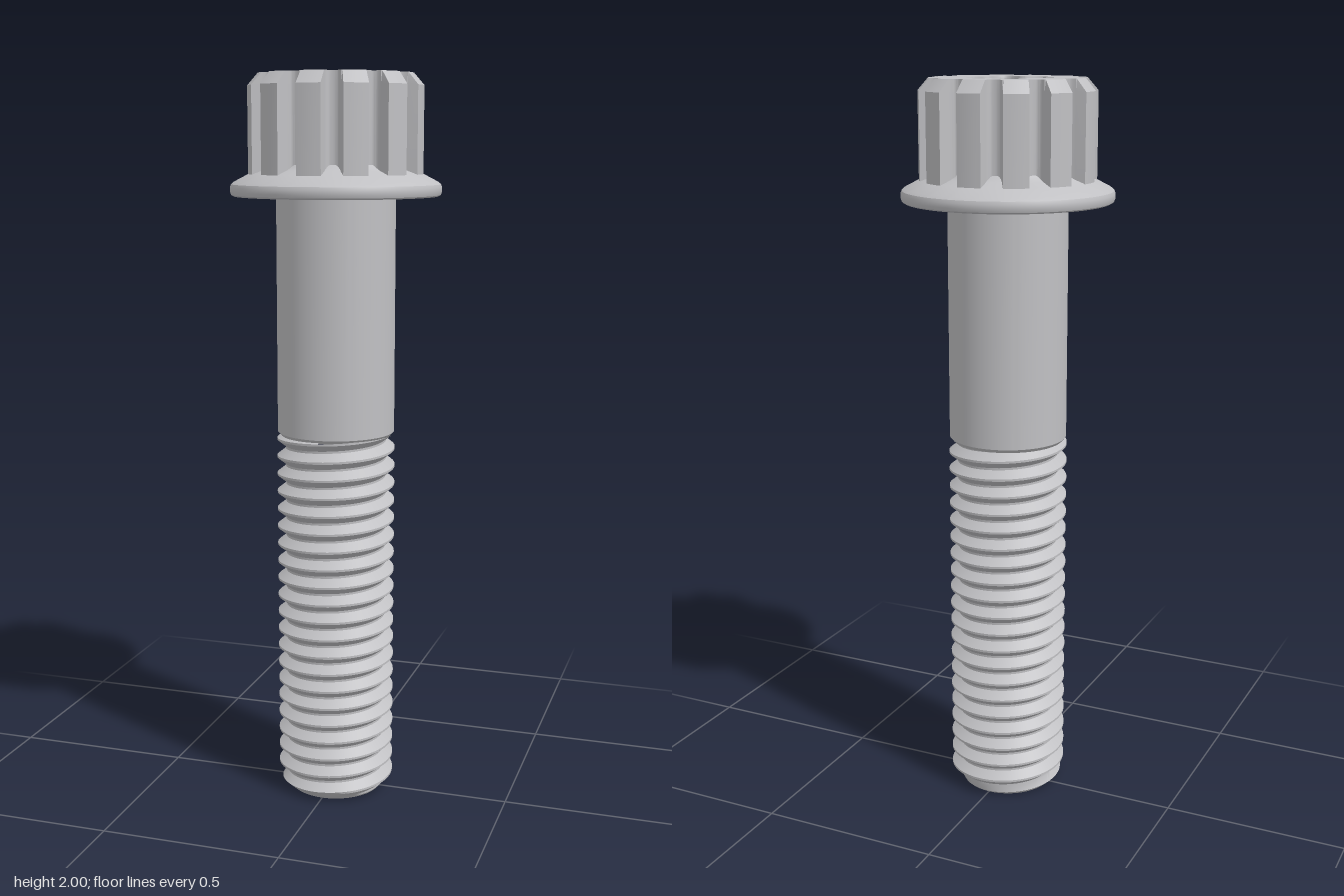
import * as THREE from 'three';
import { toCreasedNormals } from 'three/addons/utils/BufferGeometryUtils.js';

const TAU = Math.PI * 2;

// Skin a list of rings; each ring is a list of [angle, radius, y], the last point closing the loop
function loft(rings) {
  const position = [], index = [];
  const n = rings[0].length;
  for (const ring of rings)
    for (const [a, r, y] of ring) position.push(r * Math.sin(a), y, r * Math.cos(a));
  for (let i = 0; i < rings.length - 1; i++)
    for (let j = 0; j < n - 1; j++) {
      const a = i * n + j, d = a + n;
      index.push(a, a + 1, d + 1, a, d + 1, d);
    }
  const g = new THREE.BufferGeometry();
  g.setAttribute('position', new THREE.Float32BufferAttribute(position, 3));
  g.setIndex(index);
  return toCreasedNormals(g, 0.5);
}

// Turned part from a profile of [radius, y], bottom to top
function revolve(profile, n = 96) {
  return loft(profile.map(([r, y]) =>
    Array.from({ length: n + 1 }, (_, j) => [(j / n) * TAU, r, y])));
}

// Twelve-tooth head with bevelled teeth and a six-lobed socket
function headGeometry() {
  // Half a tooth and half a gap: [degrees, radius]
  const half = [[0, 0.235], [4, 0.235], [8.07, 0.235], [9.17, 0.207], [9.6, 0.198],
    [10.4, 0.192], [11.5, 0.188], [13, 0.186], [15, 0.186]];
  const tooth = [...half, ...half.slice(1, -1).reverse().map(([d, r]) => [30 - d, r])];
  const outline = [];
  for (let k = 0; k < 12; k++)
    for (const [d, r] of tooth) outline.push([((d + 30 * k) * Math.PI) / 180, r]);
  outline.push([TAU, outline[0][1]]);

  const outer = (y, limit) => outline.map(([a, r]) => [a, Math.min(r, limit), y]);
  const star = (y, scale) =>
    outline.map(([a]) => [a, (0.1075 - 0.0175 * Math.cos(6 * a)) * scale, y]);
  return loft([outer(1.72, 1), outer(1.968, 1), outer(2, 0.207),
    star(2, 1.02), star(1.994, 1), star(1.86, 1), star(1.8, 0)]);
}

// Right-handed V thread with a chamfered tip
function threadGeometry() {
  const top = 1.036, pitch = 0.05, major = 0.163, minor = 0.139, n = 72;
  const steps = [[0, minor], [0.12, minor], [0.5, major], [0.62, major]];
  const rings = [];
  for (let k = -1; k * pitch < top; k++)
    for (const [t, radius] of steps) {
      const ring = [];
      for (let j = 0; j <= n; j++) {
        const y = THREE.MathUtils.clamp((k + t + j / n) * pitch, 0, top);
        ring.push([(j / n) * TAU, Math.min(radius, 0.13 + y * 1.1), y]);
      }
      rings.push(ring);
    }
  return loft(rings);
}

export function createModel() {
  const steel = new THREE.MeshStandardMaterial({ color: 0xc0c0c3 });
  steel.name = 'steel';
  const bolt = new THREE.Group();
  bolt.name = 'flangeBolt';
  const add = (name, geometry) => {
    const mesh = new THREE.Mesh(geometry, steel);
    mesh.name = name;
    bolt.add(mesh);
  };

  add('splinedHead', headGeometry());
  // Washer flange with a rounded rim and sloping top
  add('flange', revolve([[0.15, 1.68], [0.274, 1.68], [0.281, 1.684], [0.284, 1.692],
    [0.284, 1.704], [0.281, 1.712], [0.274, 1.718], [0.232, 1.74], [0.205, 1.75],
    [0.193, 1.757], [0.18, 1.772]]));
  add('shank', revolve([[0, 1.03], [0.152, 1.03], [0.161, 1.04], [0.161, 1.685]]));
  add('thread', threadGeometry());
  add('tip', revolve([[0, 0], [0.13, 0], [0.136, 0.006]]));
  return bolt;
}
